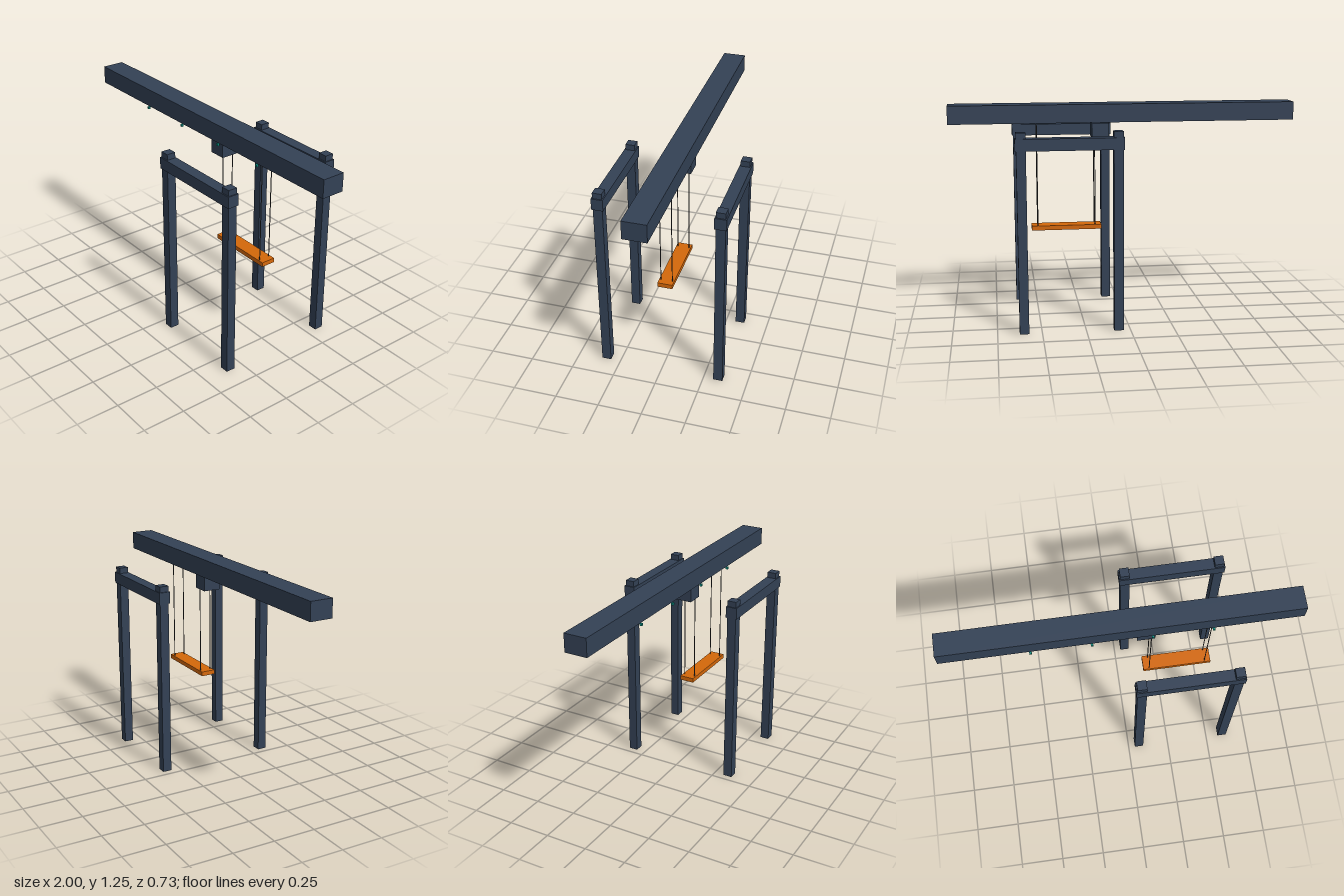
import * as THREE from 'three';

export function createModel() {
  const model = new THREE.Group();
  model.name = 'gantryCrane';

  const paint = (name, color) => {
    const m = new THREE.MeshStandardMaterial({ color });
    m.name = name;
    return m;
  };
  const steel = paint('slateSteel', 0x334155);
  const orange = paint('spreaderOrange', 0xd4680a);
  const cable = paint('cableGrey', 0x444444);
  const teal = paint('lampTeal', 0x0d9488);

  // Box given by its size and centre
  const box = (name, material, [w, h, d], [x, y, z]) => {
    const mesh = new THREE.Mesh(new THREE.BoxGeometry(w, h, d), material);
    mesh.name = name;
    mesh.position.set(x, y, z);
    model.add(mesh);
    return mesh;
  };

  const centreX = 0.333; // middle of the portal and spreader

  // Main girder
  box('girder', steel, [2, 0.105, 0.133], [0, 1.202, 0]);

  // Portal frames: two legs and a sill beam on each side
  for (const side of [1, -1]) {
    const z = side * 0.334;
    for (const end of [1, -1]) {
      box('leg', steel, [0.053, 1.135, 0.053], [centreX + end * 0.267, 0.5675, z]);
    }
    box('sideBeam', steel, [0.6, 0.067, 0.066], [centreX, 1.068, z]);
  }

  // Trolley under the girder
  box('trolley', steel, [0.1, 0.083, 0.1], [0.133, 1.102, 0]);

  // Spreader hung on four cables
  box('spreader', orange, [0.405, 0.026, 0.086], [centreX, 0.535, 0]);
  for (const end of [1, -1]) {
    for (const side of [1, -1]) {
      const mesh = new THREE.Mesh(new THREE.CylinderGeometry(0.0027, 0.0027, 0.59, 8), cable);
      mesh.name = 'hoistCable';
      mesh.position.set(centreX + end * 0.167, 0.841, side * 0.033);
      model.add(mesh);
    }
  }

  // Small lamps along the lower front edge of the girder
  for (const x of [-0.5, -0.167, 0.167, 0.5]) {
    box('lamp', teal, [0.013, 0.013, 0.013], [x, 1.143, 0.072]);
  }

  return model;
}
